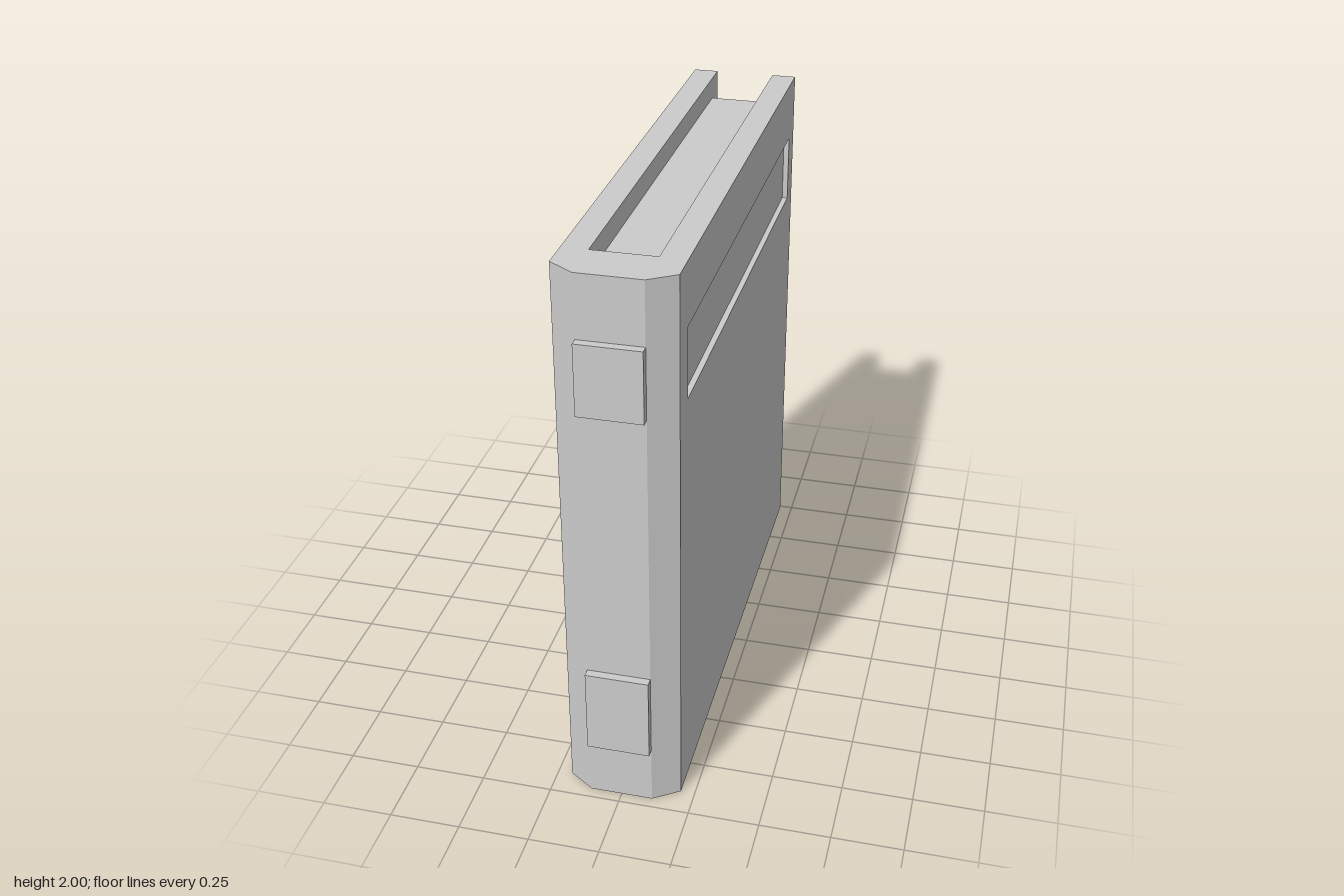
import * as THREE from 'three';

const material = new THREE.MeshStandardMaterial({ color: 0xcccccc });

const H = 2;          // overall height
const W = 0.2;        // half thickness of the book
const INNER = 0.11;   // half thickness of the page block
const BACK = -0.99;   // open edge of the cover
const SHOULDER = 0.9; // where the spine chamfer starts
const SPINE = 0.96;   // flat face of the spine
const RECESS = 0.02;  // depth of the sunken side panels

function addMesh(parent, name, geometry) {
  const mesh = new THREE.Mesh(geometry, material);
  mesh.name = name;
  parent.add(mesh);
  return mesh;
}

function addBox(parent, name, [x0, x1], [y0, y1], [z0, z1]) {
  const mesh = addMesh(parent, name, new THREE.BoxGeometry(x1 - x0, y1 - y0, z1 - z0));
  mesh.position.set((x0 + x1) / 2, (y0 + y1) / 2, (z0 + z1) / 2);
  return mesh;
}

// U-shaped cover: two boards joined by a chamfered spine
function coverGeometry() {
  const half = [
    [INNER, 0.79], [INNER, BACK], [W - RECESS, BACK],
    [W - RECESS, SHOULDER], [W, SHOULDER], [INNER, SPINE],
  ];
  const outline = [...half, ...half.map(([x, z]) => [-x, z]).reverse()];
  const shape = new THREE.Shape(outline.map(([x, z]) => new THREE.Vector2(x, -z)));
  const geometry = new THREE.ExtrudeGeometry(shape, { depth: H, bevelEnabled: false });
  return geometry.rotateX(-Math.PI / 2);
}

function rectangle(Type, z0, z1, y0, y1) {
  return new Type([[-z1, y0], [-z0, y0], [-z0, y1], [-z1, y1]].map(([a, b]) => new THREE.Vector2(a, b)));
}

// Outer skin of a board, with a window that forms the sunken title panel
function boardSkinGeometry() {
  const shape = rectangle(THREE.Shape, BACK, SHOULDER, 0, H);
  shape.holes.push(rectangle(THREE.Path, -0.9, 0.8, 1.53, 1.78));
  const geometry = new THREE.ExtrudeGeometry(shape, { depth: RECESS, bevelEnabled: false });
  return geometry.rotateY(Math.PI / 2);
}

export function createModel() {
  const book = new THREE.Group();
  book.name = 'book';

  const cover = new THREE.Group();
  cover.name = 'cover';
  book.add(cover);
  addMesh(cover, 'coverAndSpine', coverGeometry());

  const skin = boardSkinGeometry();
  addMesh(cover, 'leftBoardSkin', skin).position.x = W - RECESS;
  addMesh(cover, 'rightBoardSkin', skin).position.x = -W;

  // Page block, set in from the cover edges
  addBox(book, 'pages', [-INNER, INNER], [0.08, 1.92], [-0.9, 0.79]);

  // Raised labels on the spine
  addBox(book, 'upperSpineLabel', [-INNER, INNER], [1.53, 1.78], [SPINE, 0.99]);
  addBox(book, 'lowerSpineLabel', [-INNER, INNER], [0.22, 0.53], [SPINE, 0.99]);

  return book;
}
